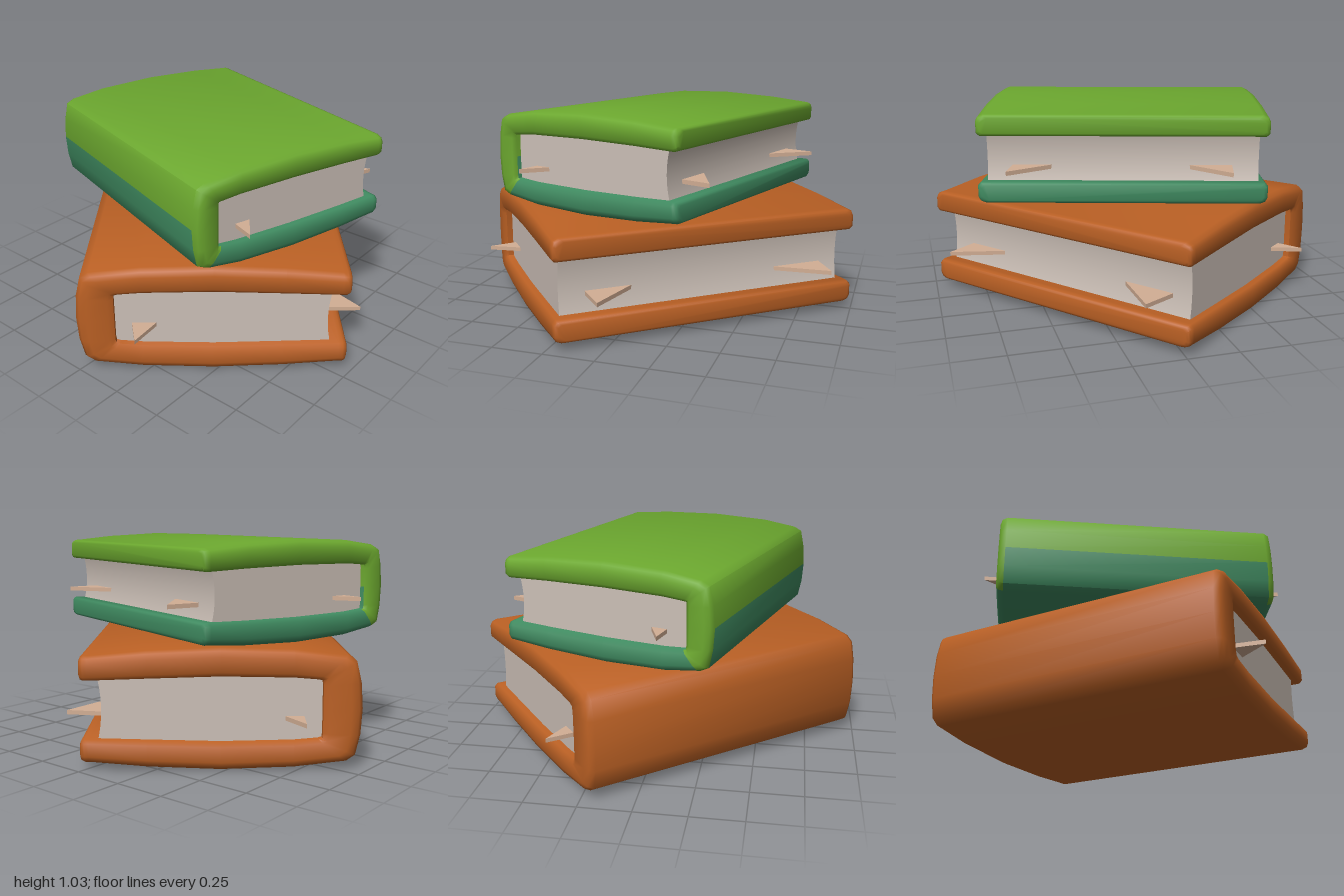
import * as THREE from 'three';
import { toCreasedNormals } from 'three/addons/utils/BufferGeometryUtils.js';

function material(name, color) {
  const m = new THREE.MeshStandardMaterial({ color });
  m.name = name;
  return m;
}

function mesh(name, geometry, mat) {
  const m = new THREE.Mesh(geometry, mat);
  m.name = name;
  return m;
}

// Cover section across its thickness: [0 inside .. 1 outside, inset of the end]
const HALF = [[1, 0.035], [0.9, 0.01], [0.7, 0], [0.15, 0], [0, 0.015]];

// Wrap-around cover: a rounded section swept along bottom board, spine and top board.
// profile rows run from spine middle to fore edge: [outer u, outer y, inner u, inner y]
function coverGeometry(profile, width, length) {
  const last = profile[profile.length - 1];
  const half = profile.map((p) => ({ p, k: 1, inset: 0 }));
  for (const [back, k, inset] of [[0.02, 1, 0], [0.006, 0.9, 0.006], [0, 0.7, 0.02]]) {
    half.push({ p: [width - back, last[1], width - back, last[3]], k, inset });
  }
  const flip = ({ p, k, inset }) => ({ p: [p[0], -p[1], p[2], -p[3]], k, inset });
  const stations = [...half.slice(1).reverse().map(flip), ...half];
  const middle = half.length - 1; // station at the spine middle
  const corner = middle - 3; // station where the lower board meets the spine
  const section = [
    ...HALF.map(([s, d]) => [s, length - d, 1]),
    ...[...HALF].reverse().map(([s, d]) => [s, length - d, -1]),
  ];
  const n = section.length;
  const pos = [];
  for (const { p, k, inset } of stations) {
    for (const [s, z, side] of section) {
      const t = 0.5 + (s - 0.5) * k;
      pos.push(p[2] + (p[0] - p[2]) * t, p[3] + (p[1] - p[3]) * t, side * (z - inset));
    }
  }
  const upper = [];
  const lower = [];
  for (let j = 0; j < stations.length - 1; j++) {
    for (let e = 0; e < n; e++) {
      const flat = e === n - 1 || e === n / 2 - 1;
      const list = j < (flat ? middle : corner) ? lower : upper;
      const f = (e + 1) % n;
      const a = j * n + e, b = j * n + f, c = b + n, d = a + n;
      list.push(a, b, c, a, c, d);
    }
  }
  // Fore-edge ends of the boards
  const end = (stations.length - 1) * n;
  for (let e = 1; e < n - 1; e++) {
    lower.push(0, e + 1, e);
    upper.push(end, end + e, end + e + 1);
  }
  const g = new THREE.BufferGeometry();
  g.setAttribute('position', new THREE.Float32BufferAttribute(pos, 3));
  g.setIndex([...upper, ...lower]);
  g.addGroup(0, upper.length, 0);
  g.addGroup(upper.length, lower.length, 1);
  return toCreasedNormals(g, 0.95);
}

// Page block with a hollowed fore edge
function pagesGeometry(back, front, height, length) {
  const s = new THREE.Shape();
  s.moveTo(back, -height);
  s.lineTo(front, -height);
  s.quadraticCurveTo(front - 0.05, 0, front, height);
  s.lineTo(back, height);
  s.closePath();
  const g = new THREE.ExtrudeGeometry(s, { depth: length * 2, bevelEnabled: false, curveSegments: 8 });
  g.translate(0, 0, -length);
  return toCreasedNormals(g, 0.6);
}

// Triangular page marker: a tip and two base points as [x, z]
function tabGeometry(tip, b1, b2) {
  const inward = ([x, z]) => [x * 0.93, z * 0.93];
  const pts = [tip, inward(b1), inward(b2)].map(([x, z]) => new THREE.Vector2(x, -z));
  const g = new THREE.ExtrudeGeometry(new THREE.Shape(pts), { depth: 0.02, bevelEnabled: false });
  g.rotateX(-Math.PI / 2);
  return g;
}

export function createModel() {
  const orange = material('orange cover', 0xba6024);
  const green = material('green cover', 0x6ca82f);
  const teal = material('teal cover', 0x3f8a60);
  const paper = material('paper', 0xccc0b7);
  const tan = material('page marker', 0xd2ae94);

  const books = [
    {
      name: 'lowerBook', y: 0.28, turn: -0.88, width: 0.63, length: 0.775, mats: [orange, orange],
      profile: [
        [-0.64, 0, -0.46, 0], [-0.632, 0.12, -0.46, 0.11], [-0.61, 0.215, -0.457, 0.132],
        [-0.57, 0.243, -0.44, 0.137], [-0.33, 0.27, -0.33, 0.146], [0, 0.28, 0, 0.152],
        [0.33, 0.266, 0.33, 0.143], [0.59, 0.243, 0.59, 0.135],
      ],
      pages: [-0.5, 0.56, 0.18, 0.73],
      tabY: 0.222,
      tabs: [
        [[-0.9, 0.28], [-0.83, 0.14], [-0.72, 0.27]],
        [[-0.01, 0.93], [-0.15, 0.84], [0.06, 0.67]],
        [[0.915, 0.165], [0.64, 0.19], [0.88, -0.01]],
        [[0.43, -0.84], [0.3, -0.78], [0.38, -0.68]],
      ],
    },
    {
      name: 'upperBook', y: 0.79, turn: -0.295, width: 0.533, length: 0.68, mats: [green, teal],
      profile: [
        [-0.54, 0, -0.415, 0], [-0.533, 0.1, -0.415, 0.09], [-0.515, 0.185, -0.413, 0.108],
        [-0.475, 0.205, -0.4, 0.11], [-0.3, 0.23, -0.3, 0.118], [0, 0.24, 0, 0.122],
        [0.3, 0.228, 0.3, 0.117], [0.5, 0.21, 0.5, 0.11],
      ],
      pages: [-0.45, 0.48, 0.15, 0.64],
      tabY: 0.732,
      tabs: [
        [[-0.52, 0.635], [-0.5, 0.515], [-0.39, 0.55]],
        [[0.425, 0.685], [0.28, 0.67], [0.35, 0.45]],
        [[0.735, -0.305], [0.535, -0.16], [0.6, -0.4]],
        [[-0.08, -0.81], [-0.13, -0.708], [-0.02, -0.675]],
      ],
    },
  ];

  const model = new THREE.Group();
  model.name = 'bookStack';
  for (const b of books) {
    const book = new THREE.Group();
    book.name = b.name;
    book.position.y = b.y;
    book.rotation.y = b.turn;
    book.add(mesh('cover', coverGeometry(b.profile, b.width, b.length), b.mats));
    book.add(mesh('pages', pagesGeometry(...b.pages), paper));
    model.add(book);
    // Markers sticking out of the pages
    for (const t of b.tabs) {
      const tab = mesh('pageMarker', tabGeometry(...t), tan);
      tab.position.y = b.tabY;
      model.add(tab);
    }
  }
  return model;
}
